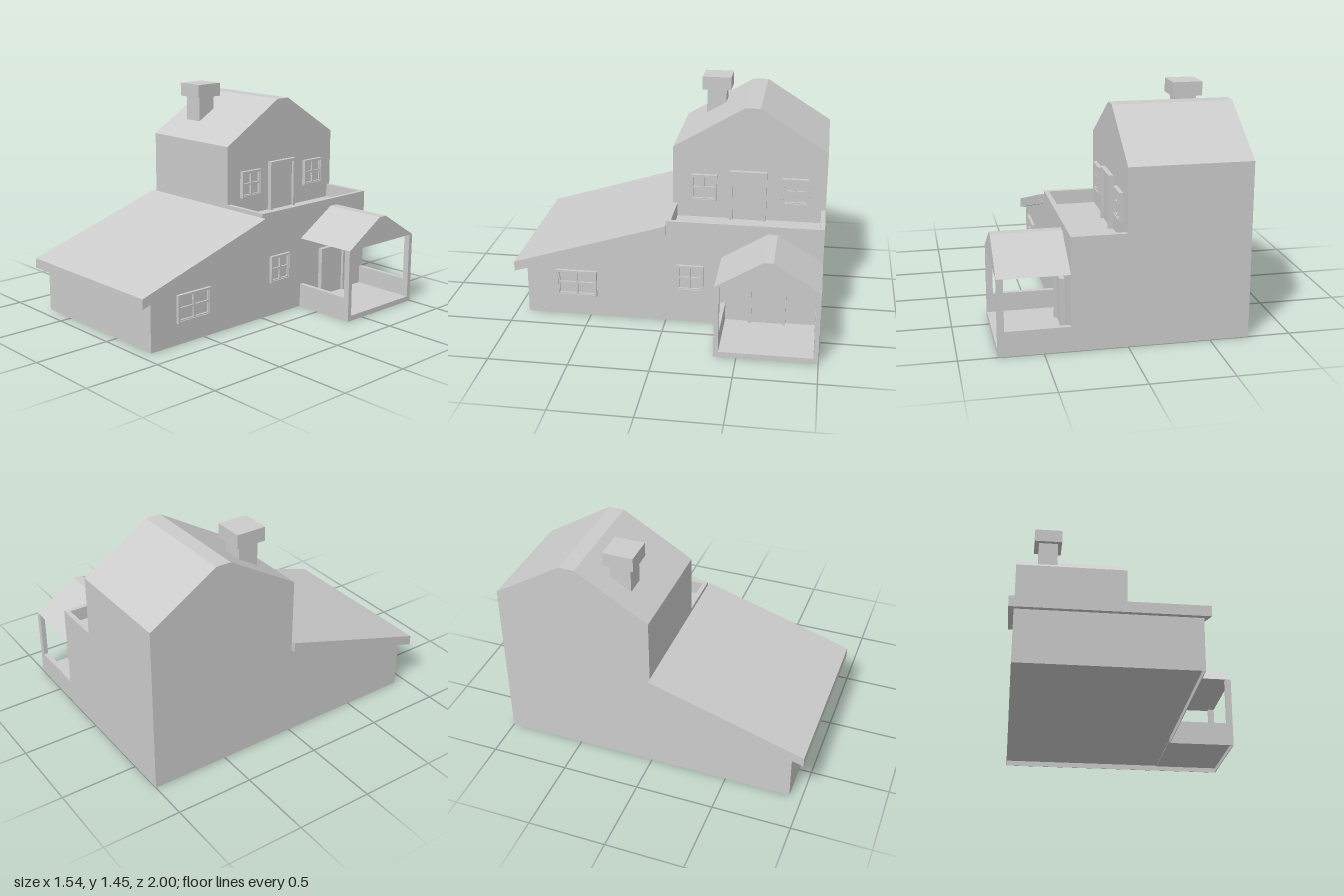
import * as THREE from 'three';

const material = new THREE.MeshStandardMaterial({ color: 0xcccccc, flatShading: true });
const BASE = 0.035; // height of the ground floor slab

export function createModel() {
  const model = new THREE.Group();
  model.name = 'house';

  const add = (name, geometry, parent = model) => {
    const mesh = new THREE.Mesh(geometry, material);
    mesh.name = name;
    parent.add(mesh);
    return mesh;
  };

  // Box given by its lower and upper limits on each axis
  const box = (name, [x0, x1], [y0, y1], [z0, z1], parent) => {
    const g = new THREE.BoxGeometry(x1 - x0, y1 - y0, z1 - z0);
    g.translate((x0 + x1) / 2, (y0 + y1) / 2, (z0 + z1) / 2);
    return add(name, g, parent);
  };

  // Side profile of [z, y] points, extruded along x
  const prism = (name, x0, x1, profile, parent) => {
    const shape = new THREE.Shape(profile.map(([z, y]) => new THREE.Vector2(-z, y)));
    const g = new THREE.ExtrudeGeometry(shape, { depth: x1 - x0, bevelEnabled: false });
    g.rotateY(Math.PI / 2).translate(x0, 0, 0);
    return add(name, g, parent);
  };

  // Rectangular frame standing in the z-y plane, extruded along +x
  const frame = (name, x, depth, [y0, y1], [z0, z1], t, bottom, parent) => {
    const shape = new THREE.Shape();
    const rect = (path, a, b, c, d) =>
      path.moveTo(a, b).lineTo(c, b).lineTo(c, d).lineTo(a, d).closePath();
    rect(shape, -z1, y0, -z0, y1);
    const hole = new THREE.Path();
    rect(hole, -z1 + t, y0 + bottom, -z0 - t, y1 - t);
    shape.holes.push(hole);
    const g = new THREE.ExtrudeGeometry(shape, { depth, bevelEnabled: false });
    g.rotateY(Math.PI / 2).translate(x, 0, 0);
    return add(name, g, parent);
  };

  // Four-pane window on a wall facing +x
  const windowUnit = (x, y0, y1, z0, z1) => {
    const group = new THREE.Group();
    group.name = 'window';
    model.add(group);
    const yc = (y0 + y1) / 2, zc = (z0 + z1) / 2;
    frame('windowFrame', x, 0.025, [y0, y1], [z0, z1], 0.012, 0.012, group);
    frame('windowSash', x, 0.018, [y0 + 0.011, y1 - 0.011], [z0 + 0.011, z1 - 0.011], 0.008, 0.008, group);
    box('verticalBar', [x, x + 0.018], [y0 + 0.015, y1 - 0.015], [zc - 0.007, zc + 0.007], group);
    box('horizontalBar', [x, x + 0.017], [yc - 0.007, yc + 0.007], [z0 + 0.015, z1 - 0.015], group);
    box('windowPane', [x - 0.005, x + 0.005], [y0 + 0.01, y1 - 0.01], [z0 + 0.01, z1 - 0.01], group);
  };

  // Door with surround on a wall facing +x
  const doorUnit = (x, y, z) => {
    const group = new THREE.Group();
    group.name = 'door';
    model.add(group);
    const top = y + 0.335;
    for (const s of [-1, 1]) {
      const zs = z + s * 0.11;
      box('doorJamb', [x, x + 0.03], [y, top - 0.02], [zs - 0.01, zs + 0.01], group);
    }
    box('doorLintel', [x, x + 0.03], [top - 0.02, top], [z - 0.12, z + 0.12], group);
    box('doorPanel', [x - 0.005, x + 0.012], [y, top - 0.02], [z - 0.1, z + 0.1], group);
  };

  // Foundation skirt around the whole footprint, open underneath
  const outline = (t) => [
    [-0.74 + t, 0.92 - t], [0.34 - t, 0.92 - t], [0.34 - t, -0.36 - t],
    [0.77 - t, -0.36 - t], [0.77 - t, -1 + t], [-0.74 + t, -1 + t],
  ].map(([x, z]) => new THREE.Vector2(x, -z));
  const skirt = new THREE.Shape(outline(0));
  skirt.holes.push(new THREE.Path(outline(0.004)));
  const skirtGeometry = new THREE.ExtrudeGeometry(skirt, { depth: BASE, bevelEnabled: false });
  add('foundation', skirtGeometry.rotateX(-Math.PI / 2));

  // Two-storey house with a flat-topped gable
  prism('mainHouse', -0.74, 0.01, [
    [0, BASE], [0, 1.09], [-0.46, 1.365], [-0.56, 1.365], [-1, 1.09], [-1, BASE],
  ]);

  // Ground-floor room beneath the balcony, with its parapet
  box('balconyRoom', [0.01, 0.34], [BASE, 0.61], [-1, 0]);
  box('sideParapet', [0.31, 0.34], [0.61, 0.7], [-1, 0]);
  for (const z of [-1, -0.03]) box('endParapet', [0.01, 0.31], [0.61, 0.7], [z, z + 0.03]);

  // Front extension and its sloping roof
  prism('frontExtension', -0.74, 0.34, [[0, BASE], [0.92, BASE], [0.92, 0.325], [0, 0.61]]);
  prism('leanToRoof', -0.77, 0.37, [[0, 0.61], [1, 0.3], [1, 0.365], [0, 0.675]]);

  // Chimney
  box('chimneyShaft', [-0.59, -0.457], [1.15, 1.36], [-0.297, -0.165]);
  box('chimneyCap', [-0.62, -0.43], [1.355, 1.445], [-0.33, -0.135]);

  // Side porch: floor, low walls, corner posts and gabled roof
  const porch = new THREE.Group();
  porch.name = 'porch';
  model.add(porch);
  box('porchFloor', [0.34, 0.77], [BASE - 0.004, BASE], [-1, -0.36], porch);
  for (const z of [-1, -0.39]) {
    box('porchLowWall', [0.34, 0.77], [BASE, 0.155], [z, z + 0.03], porch);
    box('porchPost', [0.73, 0.77], [0.155, 0.475], [z, z + 0.03], porch);
  }
  prism('porchRoof', 0.34, 0.77, [[-0.36, 0.473], [-0.65, 0.65], [-0.71, 0.65], [-1, 0.473]], porch);

  // Doors and windows
  doorUnit(0.34, BASE, -0.66);
  doorUnit(0.01, 0.61, -0.495);
  windowUnit(0.01, 0.73, 0.91, -0.29, -0.115);
  windowUnit(0.01, 0.73, 0.91, -0.89, -0.715);
  windowUnit(0.335, 0.225, 0.405, -0.245, -0.07);
  windowUnit(0.335, 0.14, 0.32, 0.455, 0.72);

  return model;
}
